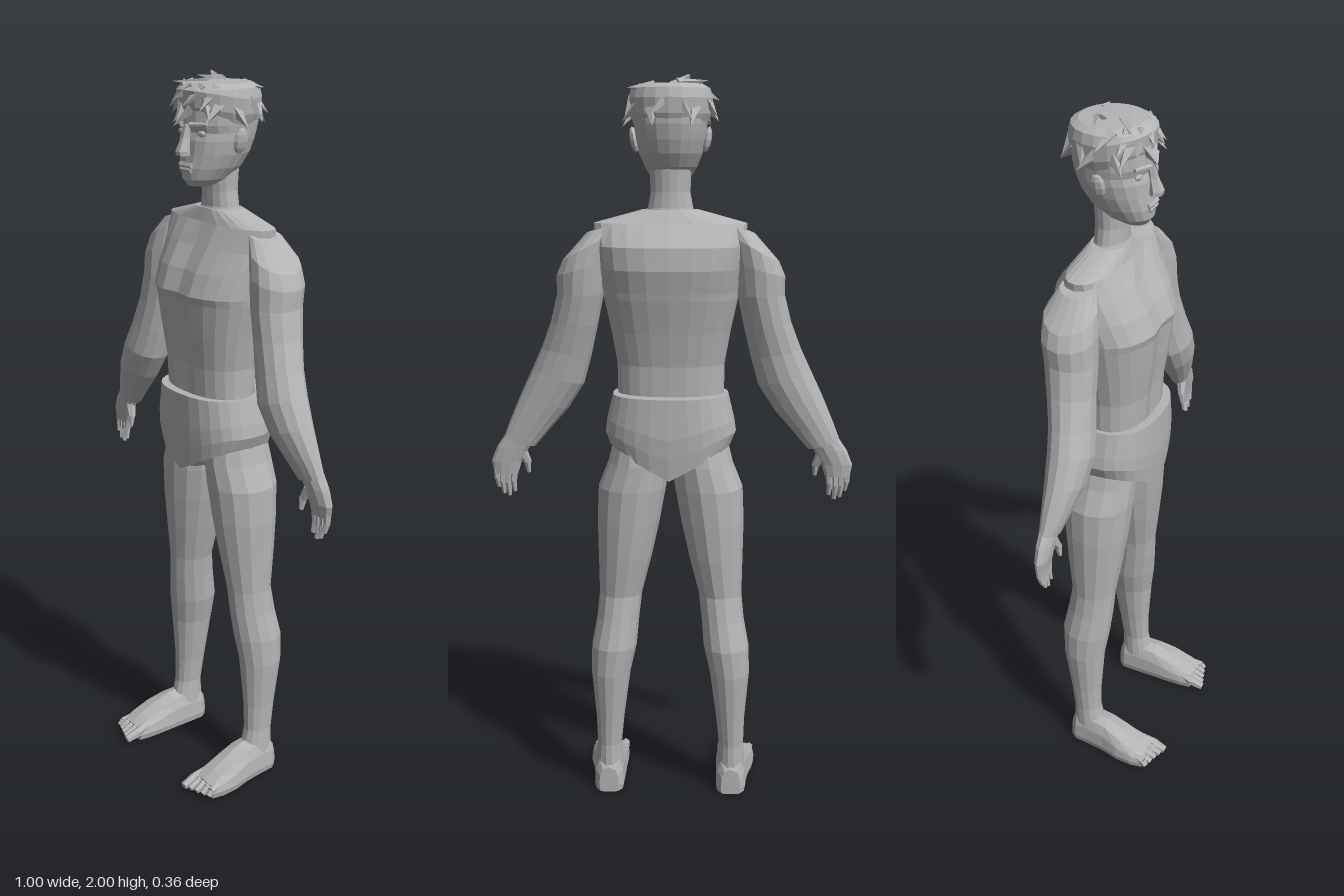
import * as THREE from 'three';

const skin = new THREE.MeshStandardMaterial({ color: 0xb4b4b4, flatShading: true, side: THREE.DoubleSide });
skin.name = 'plain grey';

// Skin a list of point rings (bottom to top, or front to back) and cap the ends.
function loft(rings, caps = true) {
  const n = rings[0].length, pos = rings.flat(2), index = [];
  for (let r = 0; r < rings.length - 1; r++) {
    for (let i = 0; i < n; i++) {
      const a = r * n + i, b = r * n + (i + 1) % n;
      index.push(a, a + n, b, b, a + n, b + n);
    }
  }
  if (caps) {
    const last = (rings.length - 1) * n;
    for (let i = 1; i < n - 1; i++) index.push(0, i, i + 1, last, last + i + 1, last + i);
  }
  const g = new THREE.BufferGeometry();
  g.setAttribute('position', new THREE.Float32BufferAttribute(pos, 3));
  g.setIndex(index);
  const flat = g.toNonIndexed();
  flat.computeVertexNormals();
  return flat;
}

// Map a function over n angles of a full turn.
const around = (n, fn) => Array.from({ length: n }, (_, i) => {
  const t = (i / n) * Math.PI * 2;
  return fn(Math.cos(t), Math.sin(t));
});

// Body ring from half width, front z and back z at height y.
const bodyRing = (n, y, w, front, back, power = 0.85) => around(n, (c, s) => {
  const mid = (front + back) / 2, half = (front - back) / 2;
  return [w * Math.sign(c) * Math.abs(c) ** power, y, mid + half * Math.sign(s) * Math.abs(s) ** power];
});

// Limb ring from inner x, outer x, front z, back z; tilt lowers the outer edge.
const limbRing = (n, side, [y, inner, outer, front, back, tilt = 0]) => around(n, (c, s) => [
  side * (inner + outer) / 2 + c * (outer - inner) / 2,
  y - tilt * c * side,
  (front + back) / 2 + s * (front - back) / 2,
]);

function createModel() {
  const model = new THREE.Group();
  const add = (name, geometry, parent = model) => {
    const m = new THREE.Mesh(geometry, skin);
    m.name = name;
    parent.add(m);
    return m;
  };
  // Tapered bar between two points.
  const bar = (name, from, to, r1, r2, parent, sides = 6) => {
    const a = new THREE.Vector3(...from), b = new THREE.Vector3(...to);
    const m = add(name, new THREE.CylinderGeometry(r2, r1, a.distanceTo(b), sides), parent);
    m.position.copy(a).add(b).multiplyScalar(0.5);
    m.quaternion.setFromUnitVectors(new THREE.Vector3(0, 1, 0), b.sub(a).normalize());
    return m;
  };

  // Torso, with a shallow groove down the middle of the chest and belly
  const torso = [
    [1.0, 0.15, 0.05, -0.13], [1.16, 0.146, 0.06, -0.118], [1.24, 0.147, 0.065, -0.122],
    [1.33, 0.163, 0.078, -0.14], [1.42, 0.182, 0.088, -0.162], [1.44, 0.185, 0.094, -0.166],
    [1.50, 0.193, 0.072, -0.18], [1.56, 0.20, 0.038, -0.175], [1.62, 0.205, 0.002, -0.128],
    [1.655, 0.075, -0.008, -0.105],
  ].map(([y, w, f, b]) => bodyRing(24, y, w, f, b).map(([x, py, z]) => {
    const groove = z > f - 0.02 && y > 1.1 && y < 1.6 ? 0.012 * Math.max(0, 1 - Math.abs(x) / 0.03) : 0;
    return [x, py, z - groove];
  }));
  add('torso', loft(torso));

  // Neck
  add('neck', loft([[1.63, 0.072, -0.002, -0.11], [1.66, 0.06, -0.014, -0.102], [1.70, 0.053, -0.014, -0.1],
    [1.78, 0.056, -0.01, -0.105]].map(([y, w, f, b]) => bodyRing(16, y, w, f, b, 1))));

  // Briefs, cut high at the hips and low in the middle
  const briefs = [[0, 0.166, 0.078, -0.162], [0.5, 0.18, 0.082, -0.168], [1, 0.175, 0.085, -0.172],
    [2, 0.158, 0.085, -0.17], [3, 0.135, 0.06, -0.125]].map(([k, w, f, b]) =>
    bodyRing(28, 0, w, f, b, 0.8).map(([x, , z]) => {
      const hem = 0.935 + 0.085 * Math.min(1, Math.abs(x) / 0.16);
      return [x, k > 2 ? 1.16 : hem + (1.16 - hem) * k / 2, z];
    }));
  add('briefs', loft(briefs, false));
  add('crotch', loft([[0.935, 0.02, 0.04, -0.12], [0.99, 0.09, 0.07, -0.15], [1.04, 0.15, 0.07, -0.15]]
    .map(([y, w, f, b]) => bodyRing(16, y, w, f, b, 1))));

  for (const side of [1, -1]) {
    const word = side > 0 ? 'left' : 'right';

    // Leg, ankle to hip
    add(word + 'Leg', loft([
      [0.07, 0.135, 0.215, -0.015, -0.115], [0.14, 0.14, 0.21, -0.03, -0.115], [0.22, 0.132, 0.212, -0.03, -0.125],
      [0.36, 0.113, 0.224, -0.02, -0.145], [0.44, 0.095, 0.222, -0.008, -0.15], [0.52, 0.088, 0.207, 0, -0.135],
      [0.59, 0.08, 0.2, 0.004, -0.125], [0.70, 0.052, 0.202, 0.02, -0.14], [0.80, 0.03, 0.204, 0.033, -0.15],
      [0.90, 0.012, 0.2, 0.042, -0.157], [0.97, 0.008, 0.172, 0.045, -0.155], [1.06, 0.02, 0.15, 0.04, -0.14],
    ].map((r) => limbRing(14, side, r))));

    // Foot, toes to heel: centre x, z, half width, top
    const foot = [[0.187, 0.135, 0.05, 0.042], [0.188, 0.10, 0.056, 0.062], [0.186, 0.05, 0.055, 0.085],
      [0.18, 0.0, 0.048, 0.105], [0.176, -0.06, 0.044, 0.112], [0.175, -0.10, 0.042, 0.105],
      [0.175, -0.118, 0.028, 0.075]].map(([x, z, w, top]) => around(12, (c, s) => [
      side * x + w * Math.sign(c) * Math.abs(c) ** 0.6, s > 0 ? 0.02 + (top - 0.02) * s : 0.02 + 0.02 * Math.max(-1, s * 1.8), z]));
    add(word + 'Foot', loft(foot));

    // Toes, longest on the inside
    for (let i = 0; i < 5; i++) {
      const big = i === 0 ? 0.015 : 0.0115;
      const x = 0.148 + i * 0.0205;
      bar(word + 'Toe', [side * (0.158 + i * 0.014), 0.05, 0.06], [side * x, 0.028, 0.14], big, big, model);
      bar(word + 'ToeTip', [side * x, 0.028, 0.138], [side * (x + 0.002), 0.016, 0.178 - i * 0.007], big, big * 0.75, model);
    }

    // Arm, wrist to shoulder
    add(word + 'Arm', loft([
      [1.015, 0.378, 0.466, -0.012, -0.062, -0.012], [1.06, 0.342, 0.448, 0.003, -0.068, -0.015],
      [1.13, 0.285, 0.416, 0.026, -0.078, -0.02], [1.20, 0.24, 0.383, 0.034, -0.088, -0.02],
      [1.27, 0.218, 0.354, 0.024, -0.096, -0.012], [1.35, 0.198, 0.326, 0.016, -0.113, -0.005],
      [1.43, 0.18, 0.307, 0.014, -0.128, 0], [1.50, 0.17, 0.307, 0.012, -0.136, 0.02],
      [1.555, 0.16, 0.29, 0.004, -0.134, 0.035], [1.605, 0.15, 0.225, -0.015, -0.11, 0.012],
    ].map((r) => limbRing(14, side, r))));

    // Hand with four fingers and a thumb
    const hand = new THREE.Group();
    hand.name = word + 'Hand';
    model.add(hand);
    add('palm', loft([
      [0.925, 0.428, 0.496, -0.026, -0.052], [0.96, 0.417, 0.502, -0.02, -0.056],
      [1.0, 0.395, 0.486, -0.016, -0.06], [1.035, 0.372, 0.462, -0.014, -0.062],
    ].map((r) => limbRing(10, side, r))), hand);
    [[0.437, 0.442, 0.872], [0.454, 0.457, 0.86], [0.471, 0.472, 0.866], [0.487, 0.486, 0.885]].forEach(([x, tip, y]) => {
      bar('finger', [side * x, 0.945, -0.039], [side * tip, (0.935 + y) / 2, -0.038], 0.0105, 0.0095, hand);
      bar('fingerTip', [side * tip, (0.938 + y) / 2, -0.038], [side * (tip - 0.003), y, -0.033], 0.0095, 0.006, hand);
    });
    bar('thumb', [side * 0.418, 0.99, -0.035], [side * 0.402, 0.955, -0.028], 0.016, 0.011, hand);
    bar('thumbTip', [side * 0.402, 0.957, -0.028], [side * 0.4, 0.925, -0.024], 0.011, 0.006, hand);
  }

  // Head
  const head = new THREE.Group();
  head.name = 'head';
  model.add(head);
  add('skull', loft([
    [1.717, 0.03, 0.04, -0.03], [1.735, 0.052, 0.054, -0.075], [1.765, 0.07, 0.056, -0.11],
    [1.80, 0.084, 0.052, -0.132], [1.835, 0.092, 0.05, -0.145], [1.855, 0.094, 0.044, -0.15],
    [1.875, 0.097, 0.052, -0.155], [1.92, 0.1, 0.05, -0.158],
  ].map(([y, w, f, b]) => bodyRing(20, y, w, f, b, 0.92))), head);
  add('nose', loft([[1.797, 0.02, 0.08, 0.04], [1.808, 0.019, 0.083, 0.04], [1.84, 0.011, 0.068, 0.035],
    [1.875, 0.01, 0.058, 0.035]].map(([y, w, f, b]) => bodyRing(6, y, w, f, b, 1))), head);
  bar('upperLip', [-0.026, 1.771, 0.05], [0.026, 1.771, 0.05], 0.009, 0.009, head);
  bar('lowerLip', [-0.022, 1.761, 0.05], [0.022, 1.761, 0.05], 0.009, 0.009, head);
  for (const side of [1, -1]) {
    const eye = add('eye', new THREE.SphereGeometry(0.013, 8, 6), head);
    eye.scale.set(1.3, 0.7, 0.7);
    eye.position.set(side * 0.04, 1.853, 0.033);
    bar('brow', [side * 0.017, 1.874, 0.052], [side * 0.065, 1.878, 0.034], 0.008, 0.005, head);
    const ear = add('ear', new THREE.SphereGeometry(0.034, 8, 6), head);
    ear.scale.set(0.35, 1, 0.65);
    ear.rotation.z = -side * 0.2;
    ear.position.set(side * 0.096, 1.835, -0.05);
  }

  // Hair: flat-topped cap with pointed locks
  const hair = new THREE.Group();
  hair.name = 'hair';
  head.add(hair);
  add('cap', loft([[1.875, 0.098], [1.9, 0.108], [1.94, 0.111], [1.965, 0.104], [1.976, 0.085], [1.98, 0.01]]
    .map(([y, r]) => around(20, (c, s) => [r * c, y + (y < 1.95 ? 0.02 * Math.max(0, s) : 0), -0.053 + r * s]))), hair);
  const lock = (angle, r0, y0, turn, r1, y1, width) => {
    const at = (a, r, y) => [r * Math.cos(a), y, -0.053 + r * Math.sin(a)];
    bar('lock', at(angle, r0, y0), at(angle + turn, r1, y1), width, 0, hair, 4);
  };
  for (let i = 0; i < 15; i++) {
    const a = (i / 15) * Math.PI * 2 + 0.2, swing = i % 2 ? 0.3 : -0.18;
    lock(a, 0.095, 1.915 + 0.012 * (i % 3), swing, 0.127 + 0.006 * (i % 2), 1.868 + 0.012 * (i % 3), 0.018);
  }
  for (let i = 0; i < 6; i++) lock(0.7 + i * 0.4, 0.085, 1.965, 0.35, 0.13, 1.91 + 0.012 * (i % 3), 0.02);
  bar('topLock', [-0.02, 1.976, -0.08], [-0.1, 1.985, -0.055], 0.016, 0, hair, 4);
  bar('topLock', [-0.005, 1.972, -0.02], [-0.085, 1.975, 0.035], 0.018, 0, hair, 4);
  bar('topLock', [0.04, 1.968, -0.1], [0.11, 1.965, -0.115], 0.016, 0, hair, 4);
  bar('crownLock', [-0.01, 1.965, -0.07], [-0.05, 1.998, -0.065], 0.02, 0.004, hair, 4);

  return model;
}

export { createModel };
